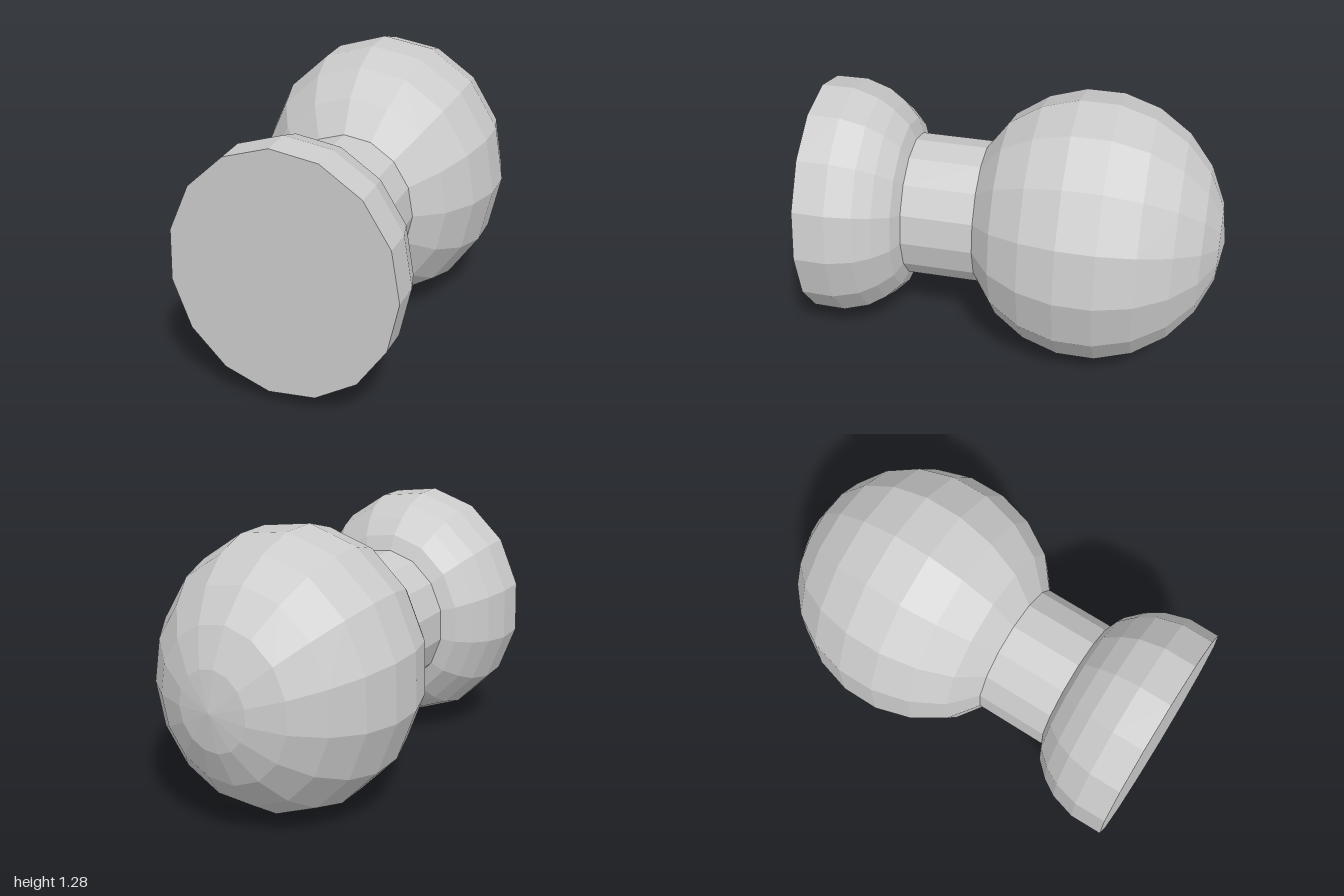
import * as THREE from 'three';

const SIDES = 15;
const HEIGHT_STRETCH = 1.105; // cross-sections are slightly taller than wide

// Faceted turned part along +x from [distance along axis, radius] pairs
function turned(name, profile) {
  const points = profile.map(([t, r]) => new THREE.Vector2(r, t));
  const geometry = new THREE.LatheGeometry(points, SIDES, THREE.MathUtils.degToRad(2));
  geometry.rotateZ(-Math.PI / 2);
  geometry.scale(1, HEIGHT_STRETCH, 1);
  const material = new THREE.MeshStandardMaterial({
    color: 0xcccccc, flatShading: true, side: THREE.DoubleSide,
  });
  const mesh = new THREE.Mesh(geometry, material);
  mesh.name = name;
  return mesh;
}

export function createModel() {
  const model = new THREE.Group();
  model.name = 'doorKnob';

  // Tilted axis that carries all turned parts
  const axis = new THREE.Group();
  axis.name = 'knobAxis';
  axis.position.set(-0.797, 0.641, 0.30);
  axis.rotation.y = 0.407;
  model.add(axis);

  // Domed mounting plate with a flat back
  axis.add(turned('mountingPlate', [
    [0, 0], [0, 0.523], [0.15, 0.525], [0.267, 0.492],
    [0.344, 0.445], [0.414, 0.38], [0.444, 0.315],
  ]));

  // Straight neck
  axis.add(turned('neck', [[0.444, 0.315], [0.782, 0.315]]));

  // Round handle: eleven bands of a sphere, open where it meets the neck
  const bands = 11;
  const ball = [[0.782, 0.315]];
  for (let i = 8; i >= 0; i--) {
    const a = (Math.PI * i) / bands;
    ball.push([1.29 + 0.62 * Math.cos(a), 0.59 * Math.sin(a)]);
  }
  axis.add(turned('roundHandle', ball));

  return model;
}
